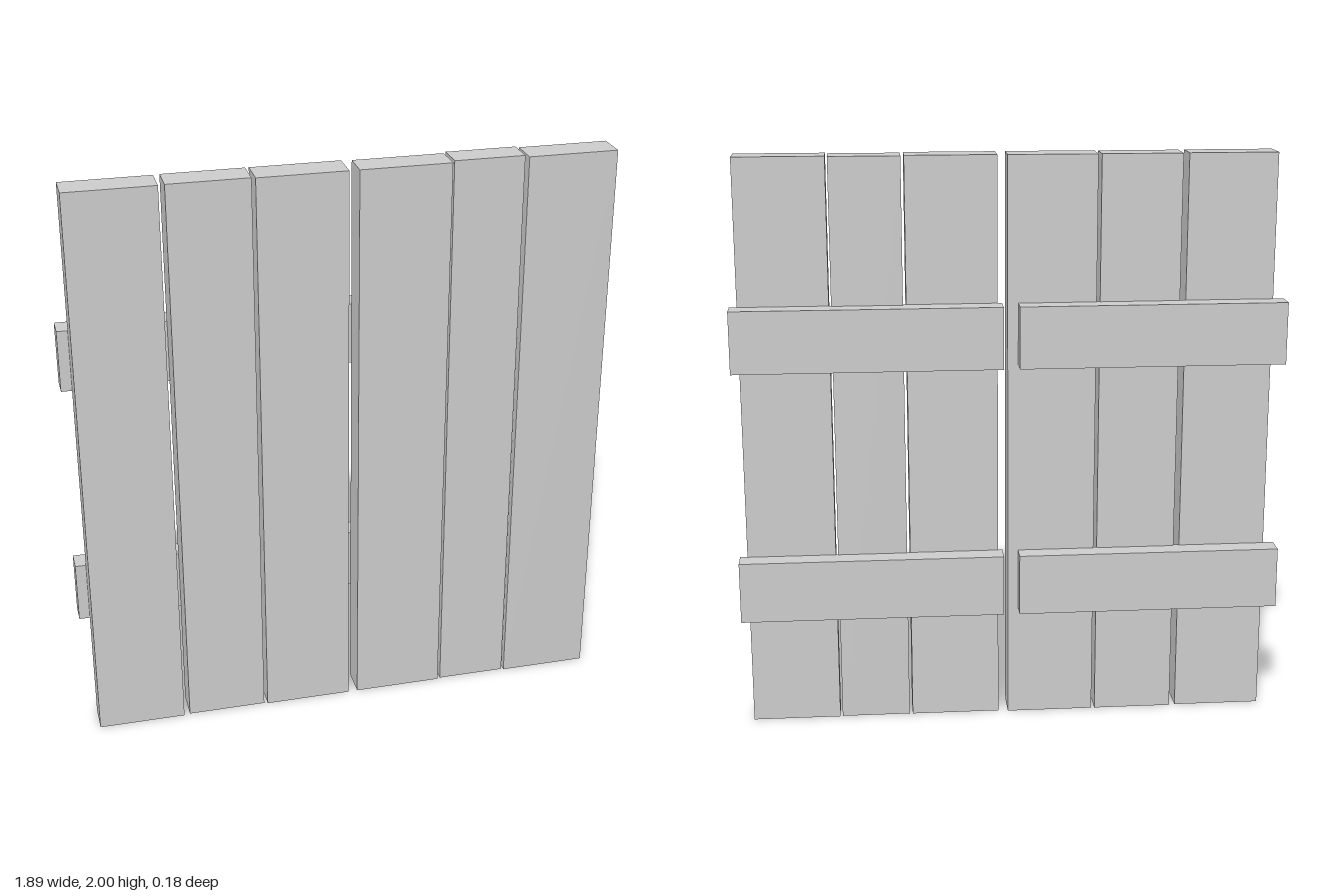
import * as THREE from 'three';

const material = new THREE.MeshStandardMaterial({ color: 0xcccccc, flatShading: true });

// Box spanning the given ranges
function board(name, [x0, x1], [y0, y1], [z0, z1]) {
  const geometry = new THREE.BoxGeometry(x1 - x0, y1 - y0, z1 - z0);
  geometry.translate((x0 + x1) / 2, (y0 + y1) / 2, (z0 + z1) / 2);
  const mesh = new THREE.Mesh(geometry, material);
  mesh.name = name;
  return mesh;
}

// Shift the top end of a board back in z so that it leans slightly
function lean(mesh, amount) {
  const p = mesh.geometry.attributes.position;
  for (let i = 0; i < p.count; i++) p.setZ(i, p.getZ(i) - amount * p.getY(i) / 2);
  mesh.geometry.computeVertexNormals();
}

export function createModel() {
  const model = new THREE.Group();
  model.name = 'plankPanel';

  // Upright planks: x range, z range at the foot, backward lean at the top
  const planks = [
    [[-0.91, -0.606], [-0.018, 0.09], 0],
    [[-0.585, -0.31], [-0.022, 0.085], 0],
    [[-0.298, 0.006], [-0.022, 0.09], 0],
    [[0.04, 0.35], [-0.016, 0.09], 0],
    [[0.361, 0.602], [-0.015, 0.085], 0.014],
    [[0.61, 0.917], [-0.018, 0.09], 0],
  ];
  planks.forEach(([x, z, tilt], i) => {
    const plank = board(`plank${i + 1}`, x, [0, 2], z);
    if (tilt) lean(plank, tilt);
    model.add(plank);
  });

  // Two rows of cross battens on the back, each in two lengths
  for (const [row, y] of [['lower', [0.4, 0.615]], ['upper', [1.285, 1.5]]]) {
    model.add(board(`${row}RightBatten`, [-0.947, -0.03], y, [-0.091, -0.014]));
    model.add(board(`${row}LeftBatten`, [0.025, 0.943], y, [-0.091, -0.014]));
  }
  return model;
}
